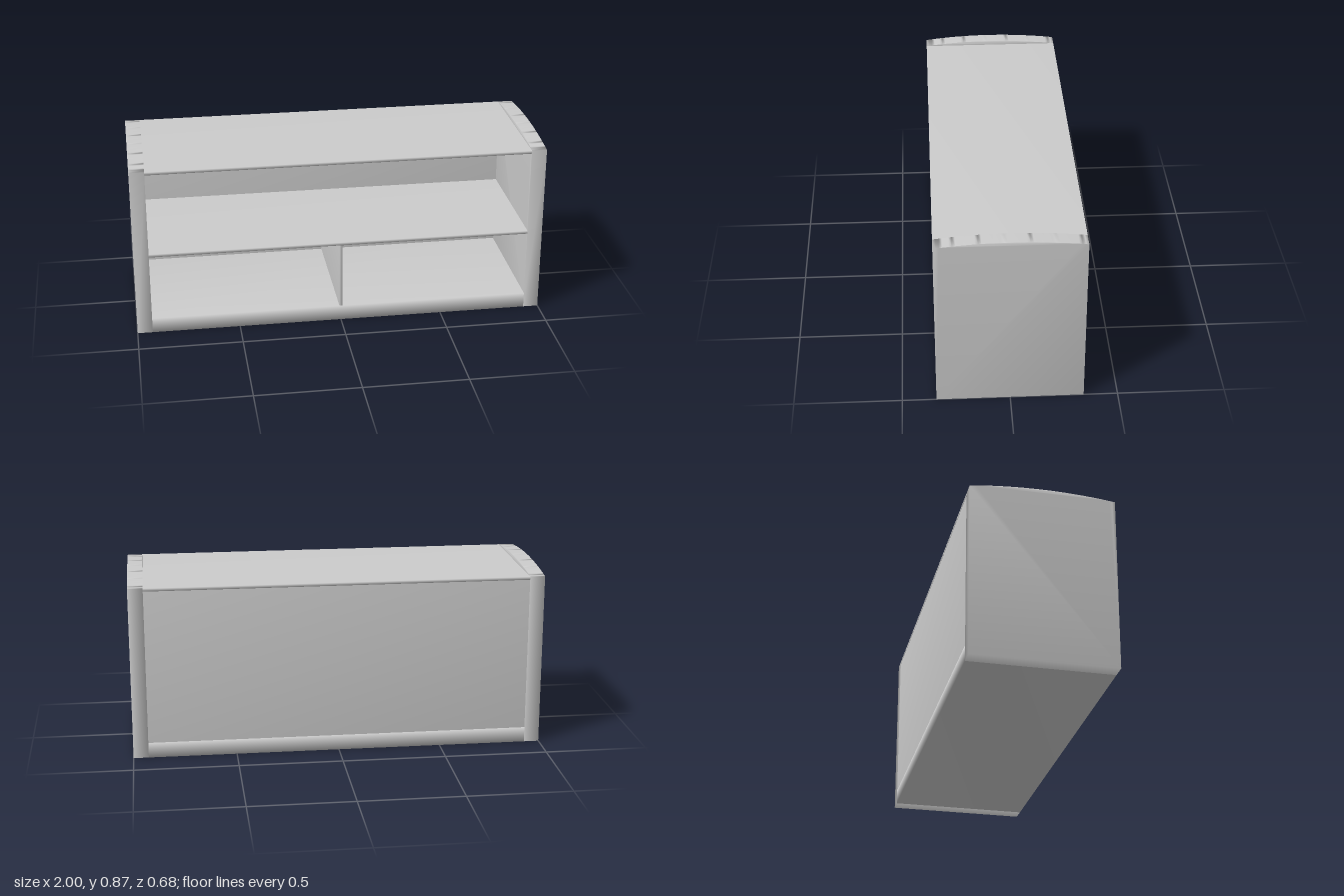
import * as THREE from 'three';
import { mergeVertices } from 'three/addons/utils/BufferGeometryUtils.js';

const HALF_DEPTH = 0.342;
const SIDE = 0.073;              // side panel thickness
const INNER = 1 - SIDE;          // half width between the sides
const TOP = 0.845, CROWN = 0.867;
const BASE = 0.075, BOARD = 0.015, BACK = 0.035;
const SHELF = 0.405;             // underside of the middle shelf

const material = new THREE.MeshStandardMaterial({ color: 0xcccccc });

// Welds shared corners so the shading runs softly over the edges
function soften(geometry) {
  geometry.deleteAttribute('normal');
  geometry.deleteAttribute('uv');
  const welded = mergeVertices(geometry, 1e-4);
  welded.computeVertexNormals();
  return welded;
}

function addMesh(group, name, geometry) {
  const mesh = new THREE.Mesh(soften(geometry), material);
  mesh.name = name;
  group.add(mesh);
  return mesh;
}

// Board given by its lower and upper corners
function addBoard(group, name, [x0, y0, z0], [x1, y1, z1]) {
  const geometry = new THREE.BoxGeometry(x1 - x0, y1 - y0, z1 - z0);
  geometry.translate((x0 + x1) / 2, (y0 + y1) / 2, (z0 + z1) / 2);
  return addMesh(group, name, geometry);
}

// Upright panel with a gently arched top edge
function sideGeometry() {
  const rise = CROWN - TOP;
  const radius = (HALF_DEPTH ** 2 + rise ** 2) / (2 * rise);
  const angle = Math.asin(HALF_DEPTH / radius);
  const shape = new THREE.Shape();
  shape.moveTo(-HALF_DEPTH, 0);
  shape.lineTo(HALF_DEPTH, 0);
  shape.lineTo(HALF_DEPTH, TOP);
  shape.absarc(0, CROWN - radius, radius, Math.PI / 2 - angle, Math.PI / 2 + angle, false);
  const geometry = new THREE.ExtrudeGeometry(shape, { depth: SIDE, bevelEnabled: false, curveSegments: 24 });
  return geometry.rotateY(Math.PI / 2);
}

export function createModel() {
  const group = new THREE.Group();
  group.name = 'sideboard';
  const d = HALF_DEPTH;

  // End panels
  addMesh(group, 'leftSide', sideGeometry().translate(INNER, 0, 0));
  addMesh(group, 'rightSide', sideGeometry().translate(-1, 0, 0));

  // Horizontal boards
  addBoard(group, 'base', [-INNER, 0, -d], [INNER, BASE, d]);
  addBoard(group, 'middleShelf', [-INNER, SHELF, -d + BACK], [INNER, SHELF + BOARD, d]);
  addBoard(group, 'topBoard', [-INNER, TOP - BOARD, -d], [INNER, TOP, d]);

  // Back panel and the divider of the lower compartment
  addBoard(group, 'backPanel', [-INNER, BASE, -d], [INNER, TOP - BOARD, -d + BACK]);
  addBoard(group, 'divider', [-BOARD / 2, BASE, -d + BACK], [BOARD / 2, SHELF, d]);

  return group;
}
